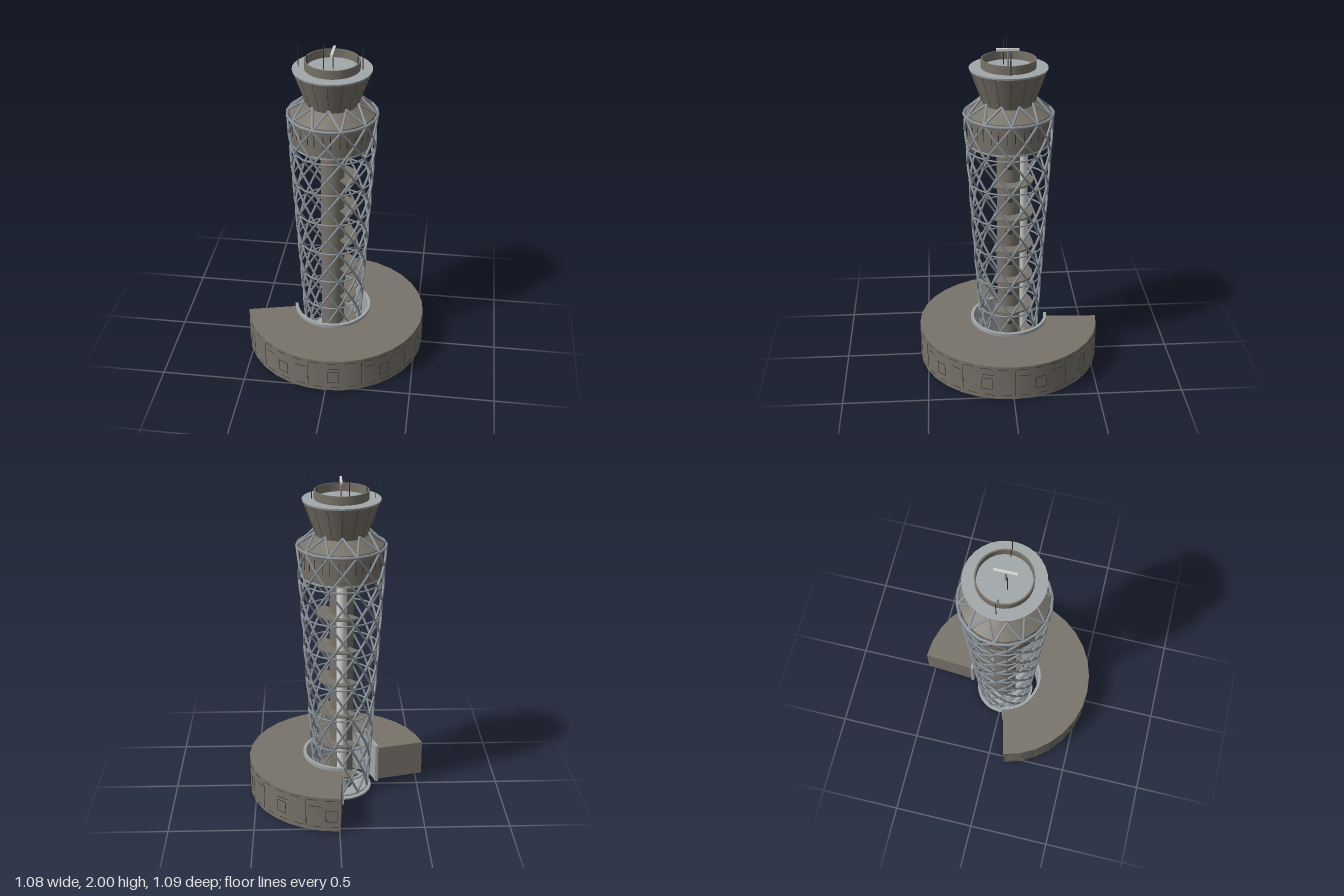
import * as THREE from 'three';
import { toCreasedNormals } from 'three/addons/utils/BufferGeometryUtils.js';

const mat = (name, color, side = THREE.FrontSide) => {
  const m = new THREE.MeshStandardMaterial({ color, side });
  m.name = name;
  return m;
};
const RAD = Math.PI / 180;

export function createModel() {
  const cladding = mat('brown cladding', 0x78736a, THREE.DoubleSide);
  const grey = mat('light grey roof', 0xa2a7a9, THREE.DoubleSide);
  const steel = mat('lattice steel', 0x8a9298);
  const pale = mat('pale shaft', 0xd4d4cf);
  const dark = mat('dark seams', 0x35332f);

  const model = new THREE.Group();
  model.name = 'controlTower';
  const tower = new THREE.Group();
  tower.name = 'tower';
  tower.position.set(-0.025, 0, -0.005);
  model.add(tower);

  const add = (parent, name, geo, material, x = 0, y = 0, z = 0) => {
    const m = new THREE.Mesh(geo, material);
    m.name = name;
    m.position.set(x, y, z);
    parent.add(m);
    return m;
  };
  const drum = (name, rTop, rBottom, y0, y1, material, sides = 32, open = false) =>
    add(tower, name, new THREE.CylinderGeometry(rTop, rBottom, y1 - y0, sides, 1, open), material, 0, (y0 + y1) / 2, 0);
  const polar = (deg, r, y) => new THREE.Vector3(r * Math.cos(deg * RAD), y, r * Math.sin(deg * RAD));
  const strut = (parent, name, a, b, r, material, sides = 6) => {
    const d = b.clone().sub(a);
    const m = add(parent, name, new THREE.CylinderGeometry(r, r, d.length(), sides), material);
    m.position.copy(a).addScaledVector(d, 0.5);
    m.quaternion.setFromUnitVectors(new THREE.Vector3(0, 1, 0), d.normalize());
    return m;
  };
  // Upright sector ring; angles in plan, counterclockwise seen from above
  const sector = (parent, name, outer, inner, y0, y1, material) => {
    const pts = [];
    for (const [cx, cy, r, a0, a1, n] of [outer, inner])
      for (let i = 0; i <= n; i++) {
        const a = (a0 + (a1 - a0) * i / n) * RAD;
        pts.push(new THREE.Vector2(cx + r * Math.cos(a), cy + r * Math.sin(a)));
      }
    const geo = new THREE.ExtrudeGeometry(new THREE.Shape(pts), { depth: y1 - y0, bevelEnabled: false });
    geo.rotateX(-Math.PI / 2);
    return add(parent, name, toCreasedNormals(geo, 0.5), material, 0, y0, 0);
  };

  // Base building: a ring with a wedge left open at the back
  sector(model, 'baseBuilding', [-0.005, 0, 0.545, 191.25, 450, 23], [-0.025, 0.005, 0.235, 450, 190.5, 28], 0.01, 0.23, cladding);
  sector(tower, 'collarWall', [0, 0, 0.235, 188, 452, 28], [0, 0, 0.217, 452, 188, 28], 0, 0.25, grey);

  // Facade seams and windows, one set on each facet
  const facade = new THREE.Group();
  facade.name = 'facadeDetails';
  facade.position.x = -0.005;
  model.add(facade);
  const apothem = 0.545 * Math.cos(5.625 * RAD);
  for (let i = 0; i < 23; i++) {
    const facet = new THREE.Group();
    facet.name = 'facet';
    facet.rotation.y = (191.25 + 11.25 * (i + 0.5) + 90) * RAD;
    facade.add(facet);
    const plate = (x, y, w, h) => add(facet, 'seam', new THREE.BoxGeometry(w, h, 0.003), dark, x, y, apothem);
    plate(-0.01, 0.212, 0.06, 0.003);
    plate(0.015, 0.035, 0.055, 0.003);
    if (i % 2) plate(0.01, 0.17, 0.07, 0.003);
    if (i % 3 === 0) plate(-0.045, 0.12, 0.003, 0.17);
    if (i % 3 === 1) {
      for (const s of [-1, 1]) {
        plate(s * 0.032, 0.11, 0.003, 0.075);
        plate(0, 0.11 + s * 0.037, 0.064, 0.003);
      }
    }
  }

  // Floor, core, service shaft and half-round landings
  drum('floorDisc', 0.185, 0.185, 0, 0.01, grey);
  drum('core', 0.07, 0.07, 0.01, 1.42, cladding, 24);
  add(tower, 'serviceShaft', new THREE.CylinderGeometry(0.03, 0.03, 1.4, 16), pale, 0, 0.71, -0.082);
  for (let i = 0; i < 7; i++) {
    const y = 0.131 + i * 0.207;
    sector(tower, 'landing', [0, 0, 0.145, -45, 135, 16], [0, 0, 0.06, 135, -45, 16], y - 0.005, y + 0.005, cladding);
    add(tower, 'coreOpening', new THREE.BoxGeometry(0.004, 0.022, 0.04), dark, 0.07, y + 0.1, 0.003);
  }

  // Diagonal lattice: ten members each way, with a hoop at every node level
  const lattice = new THREE.Group();
  lattice.name = 'lattice';
  tower.add(lattice);
  const radiusAt = y => 0.165 + 0.058 * y;
  const TOP = 1.58, STEP = 0.207;
  for (const dir of [-1, 1])
    for (let k = 0; k < 10; k++) {
      const pts = [];
      for (let i = 0; i <= 15; i++) {
        const y = TOP - i * STEP / 2;
        pts.push(polar(36 * k + dir * 18 * i, radiusAt(y), y));
      }
      add(lattice, 'diagonal', new THREE.TubeGeometry(new THREE.CatmullRomCurve3(pts), 45, 0.007, 6), steel);
      // Members fold inward over the roof to the cab
      strut(lattice, 'roofStrut', polar(36 * k, radiusAt(TOP), TOP), polar(36 * k + dir * 18, 0.16, 1.665), 0.007, steel);
    }
  for (let i = 0; i <= 8; i++) {
    const y = i === 8 ? 0.02 : TOP - i * STEP;
    const hoop = add(lattice, 'hoop', new THREE.TorusGeometry(radiusAt(y), i ? 0.005 : 0.009, 6, 20), steel, 0, y, 0);
    hoop.rotation.x = Math.PI / 2;
  }

  // Equipment floors below the cab
  drum('lowerDrum', 0.243, 0.235, 1.41, 1.59, cladding);
  drum('lowerDrumFloor', 0.237, 0.237, 1.4, 1.41, grey);
  drum('slopedRoof', 0.15, 0.243, 1.59, 1.645, cladding);

  // Cab, roof rim and parapet
  drum('cab', 0.22, 0.147, 1.64, 1.84, cladding);
  drum('cabRoof', 0.224, 0.222, 1.84, 1.85, grey);
  drum('parapetOuter', 0.156, 0.156, 1.85, 1.9, cladding, 32, true);
  drum('parapetInner', 0.148, 0.148, 1.85, 1.9, cladding, 32, true);
  const cap = add(tower, 'parapetTop', new THREE.RingGeometry(0.148, 0.156, 32), cladding, 0, 1.9, 0);
  cap.rotation.x = -Math.PI / 2;

  // Thin seams on the cab and window slots on the drum
  for (let k = 0; k < 16; k++) {
    const a = 22.5 * k;
    strut(tower, 'cabSeam', polar(a, 0.15, 1.65), polar(a, 0.2195, 1.84), 0.0015, dark, 4);
    for (const side of [-5, 5])
      strut(tower, 'drumSlot', polar(a + side, 0.239, 1.47), polar(a + side, 0.242, 1.55), 0.002, dark, 4);
  }

  // Antennas and radar bar
  for (const [x, z, top, r] of [[-0.19, 0, 1.98, 0.0025], [-0.045, 0.025, 2, 0.0025], [0.168, 0, 1.98, 0.0025],
    [-0.142, 0, 1.925, 0.003], [0.14, 0, 1.925, 0.003]])
    strut(tower, 'antenna', new THREE.Vector3(x, 1.85, z), new THREE.Vector3(x, top, z), r, dark);
  strut(tower, 'radarMast', new THREE.Vector3(0.004, 1.85, 0.005), new THREE.Vector3(0.004, 1.945, 0.005), 0.006, steel, 8);
  add(tower, 'radarBar', new THREE.BoxGeometry(0.014, 0.014, 0.128), pale, 0.004, 1.95, 0.005);

  return model;
}
